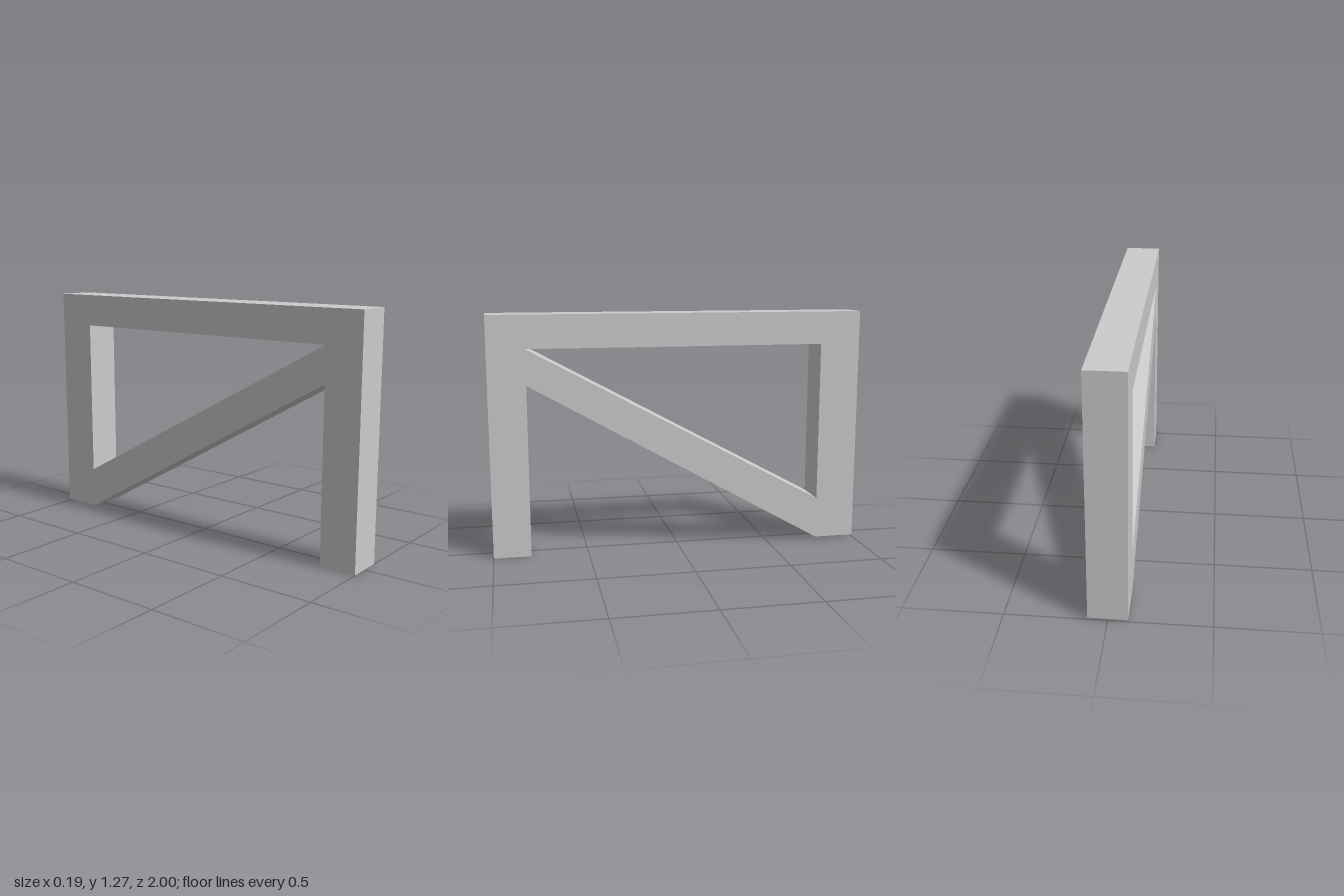
import * as THREE from 'three';

// Points are [z, y]; the shape is drawn along -z so that a quarter turn puts its depth on x
const toPoints = (list) => list.map(([z, y]) => new THREE.Vector2(-z, y));

export function createModel() {
  const group = new THREE.Group();
  group.name = 'bracedFrame';
  const width = 0.194;

  // Outline: front post, top beam, back post and the underside of the diagonal brace
  const outline = new THREE.Shape(toPoints([
    [1, 0], [0.803, 0], [0.803, 0.912], [-0.782, 0.01],
    [-1, 0.01], [-1, 1.275], [1, 1.275],
  ]));

  // Triangular opening between the beam, back post and brace
  outline.holes.push(new THREE.Path(toPoints([
    [0.803, 1.1], [-0.782, 1.1], [-0.782, 0.235],
  ])));

  const geometry = new THREE.ExtrudeGeometry(outline, { depth: width, bevelEnabled: false });
  geometry.translate(0, 0, -width / 2);
  geometry.rotateY(Math.PI / 2);

  const material = new THREE.MeshStandardMaterial({ color: 0xcccccc, flatShading: true });
  const frame = new THREE.Mesh(geometry, material);
  frame.name = 'postsBeamAndBrace';
  group.add(frame);
  return group;
}
